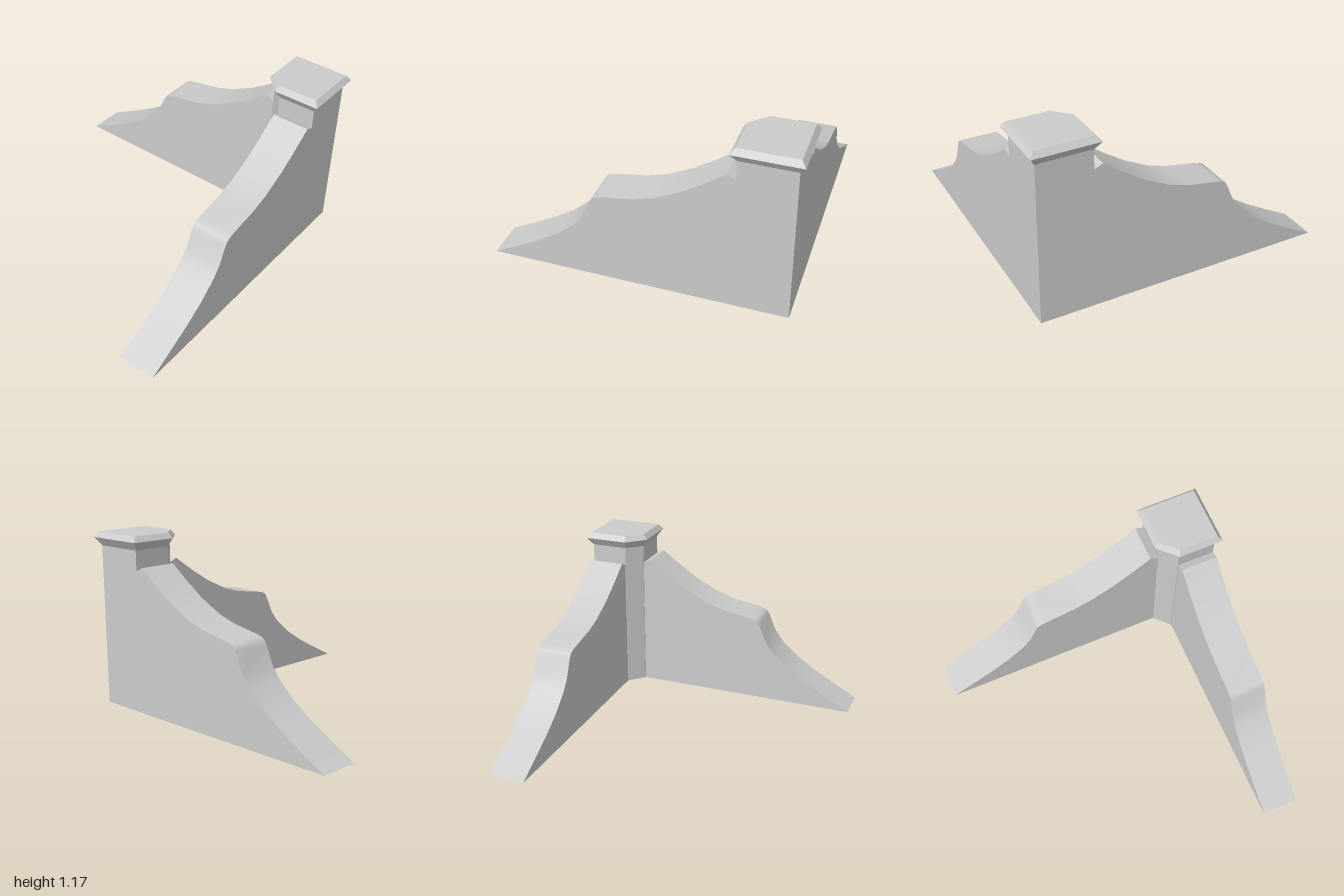
import * as THREE from 'three';
import { toCreasedNormals } from 'three/addons/utils/BufferGeometryUtils.js';
import { ConvexGeometry } from 'three/addons/geometries/ConvexGeometry.js';

const IN = 0.603, OUT = 0.96, WIDTH = 0.253, CUT = 0.1;

// Sloping top edge of a wing, from its foot to the corner post
const slope = [
  [-0.998, 0], [-0.83, 0.09], [-0.67, 0.18], [-0.54, 0.265], [-0.42, 0.37],
  [-0.36, 0.45], [-0.305, 0.575], [-0.29, 0.6], [-0.27, 0.613], [-0.23, 0.624],
  [-0.02, 0.66], [0.11, 0.7], [0.27, 0.78], [0.41, 0.87], [0.547, 0.97], [IN, 0.945],
];

// Square with its inner corner cut off, grown outward by o, at height y
function ring(o, y) {
  const a = IN - o, b = OUT + o, c = CUT + o * (2 - Math.SQRT2);
  return [[a, -b], [b, -b], [b, -a], [a + c, -a], [a, -a - c]]
    .map(([x, z]) => new THREE.Vector3(x, y, z));
}

export function createModel() {
  const model = new THREE.Group();
  const material = new THREE.MeshStandardMaterial({ color: 0xcccccc });
  const add = (name, geometry) => {
    const mesh = new THREE.Mesh(geometry, material);
    mesh.name = name;
    model.add(mesh);
  };

  // Two equal wings at a right angle
  const outline = new THREE.Shape([[IN, 0], ...slope.slice().reverse()]
    .map(([x, y]) => new THREE.Vector2(x, y)));
  const wing = () => toCreasedNormals(
    new THREE.ExtrudeGeometry(outline, { depth: WIDTH, bevelEnabled: false }), 0.6);
  add('sideWing', wing().translate(0, 0, -OUT));
  add('frontWing', wing().rotateY(Math.PI / 2).translate(OUT - WIDTH, 0, 0));

  // Corner post and its bevelled cap
  add('cornerPost', new ConvexGeometry([...ring(0, 0), ...ring(0, 1.075)]));
  add('postCap', new ConvexGeometry(
    [...ring(0, 1.075), ...ring(0.036, 1.13), ...ring(0.008, 1.167)]));

  return model;
}
